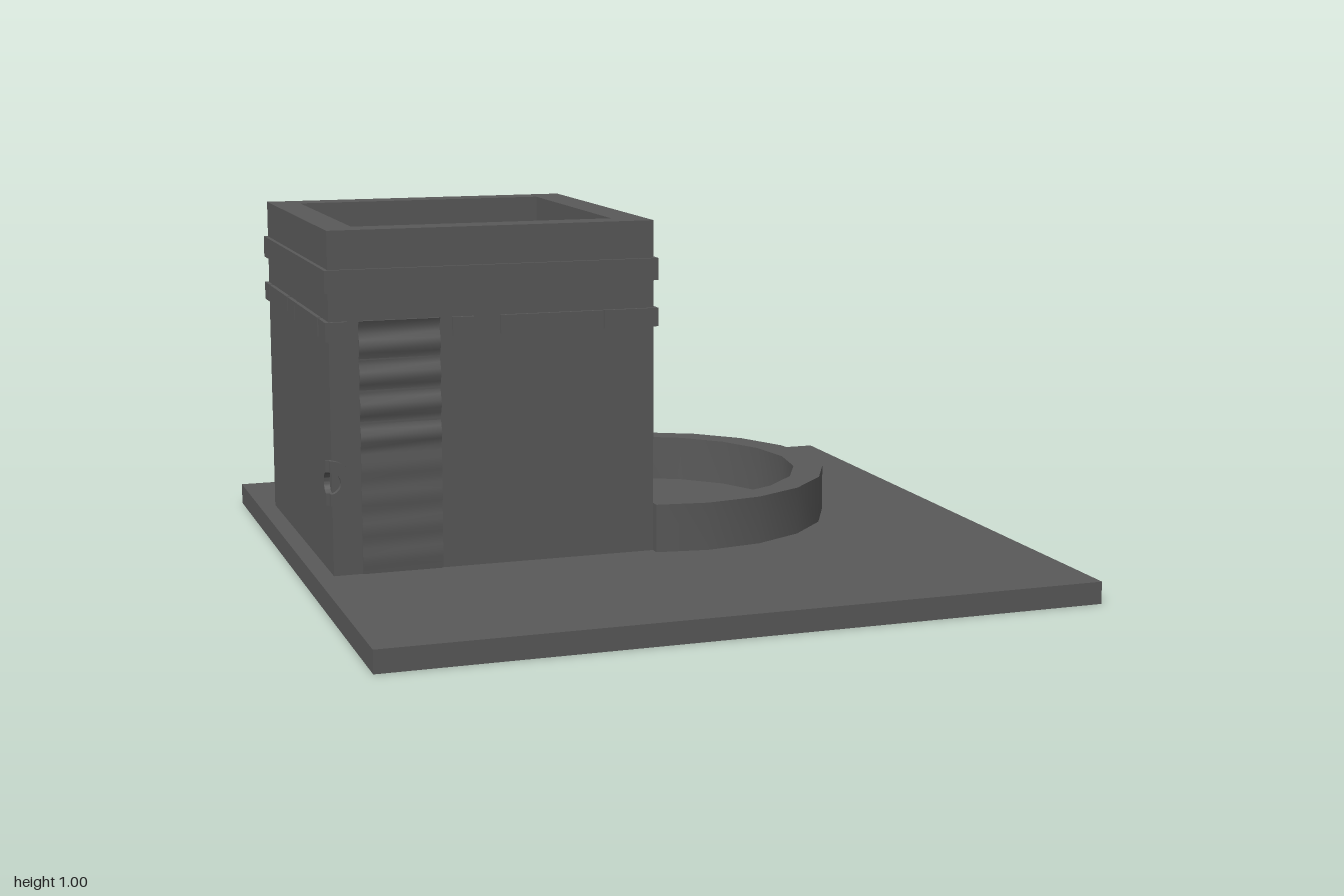
import * as THREE from 'three';
import { toCreasedNormals } from 'three/addons/utils/BufferGeometryUtils.js';

export function createModel() {
  const model = new THREE.Group();
  const stone = new THREE.MeshStandardMaterial({ color: 0x595959 });
  stone.name = 'dark grey stone';

  const add = (name, geometry, parent = model) => {
    const mesh = new THREE.Mesh(geometry, stone);
    mesh.name = name;
    parent.add(mesh);
    return mesh;
  };
  const group = (name) => {
    const g = new THREE.Group();
    g.name = name;
    model.add(g);
    return g;
  };
  const box = (name, x0, x1, y0, y1, z0, z1, parent) =>
    add(name, new THREE.BoxGeometry(x1 - x0, y1 - y0, z1 - z0)
      .translate((x0 + x1) / 2, (y0 + y1) / 2, (z0 + z1) / 2), parent);
  const extrude = (shape, depth) =>
    new THREE.ExtrudeGeometry(shape, { depth, bevelEnabled: false, curveSegments: 12 });
  const polygon = (points) => new THREE.Shape(points.map(([x, y]) => new THREE.Vector2(x, y)));

  // Ground slab
  box('groundSlab', -1, 1, 0, 0.062, -0.993, 0.993);

  // House block with a sunken roof inside a parapet
  const X0 = -0.95, X1 = -0.03, Z0 = -0.655, Z1 = 0.27;
  box('houseWalls', X0, X1, 0.062, 0.92, Z0, Z1);
  const parapet = polygon([[X0, -Z1], [X1, -Z1], [X1, -Z0], [X0, -Z0]]);
  parapet.holes.push(polygon([[-0.865, -0.18], [-0.865, 0.565], [-0.125, 0.565], [-0.125, -0.18]]));
  add('parapet', extrude(parapet, 0.085).rotateX(-Math.PI / 2).translate(0, 0.92, 0));

  // Continuous upper band
  const T = 0.011;
  box('upperBand', X0 - T, X1 + T, 0.838, 0.9, Z0 - T, Z1 + T);

  // Lower band broken into blocks on all four faces
  const blocks = group('lowerBand');
  const Y0 = 0.708, Y1 = 0.76;
  for (const [a, b] of [[X0 - T, -0.9], [-0.61, -0.55], [-0.475, -0.183], [-0.177, X1 + T]])
    box('frontBlock', a, b, Y0, Y1, Z1 - 0.01, Z1 + T, blocks);
  for (const [a, b] of [[X0 - T, -0.89], [-0.875, -0.61], [-0.59, -0.5], [-0.485, -0.19], [-0.175, X1 + T]])
    box('backBlock', a, b, Y0, Y1, Z0 - T, Z0 + 0.01, blocks);
  for (const [a, b] of [[Z0 - T, -0.59], [-0.58, -0.29], [-0.284, -0.171], [-0.165, 0.17], [0.185, Z1 + T]]) {
    box('leftBlock', X1 - 0.01, X1 + T, Y0, Y1, a, b, blocks);
    box('rightBlock', X0 - T, X0 + 0.01, Y0, Y1, a, b, blocks);
  }

  // Rippled curtain over the doorway, a wavy profile pulled across its width
  const wave = [[0.26, 0.062]];
  for (let i = 0; i <= 40; i++) {
    const y = 0.062 + i * 0.01745;
    const amount = y > 0.4 ? 0.007 : 0.002;
    wave.push([0.276 + amount * Math.sin(y * 75), y]);
  }
  wave.push([0.26, 0.76]);
  add('doorCurtain', toCreasedNormals(
    extrude(polygon(wave), 0.225).rotateY(-Math.PI / 2).translate(-0.645, 0, 0).applyMatrix4(
      new THREE.Matrix4().makeScale(1, 1, 1)), 0.6));

  // Ring emblem folded around the front corner
  const emblem = group('cornerRing');
  const half = new THREE.Shape();
  half.absarc(0, 0, 0.062, -Math.PI / 2, Math.PI / 2, false);
  half.absarc(0, 0, 0.029, Math.PI / 2, -Math.PI / 2, true);
  add('frontHalfRing', toCreasedNormals(
    extrude(half, 0.022).translate(-0.957, 0.322, 0.265), 0.6), emblem);
  add('sideHalfRing', toCreasedNormals(
    extrude(half, 0.02).rotateY(Math.PI / 2).translate(-0.966, 0.322, 0.268), 0.6), emblem);

  // Roof drain: triangular plate and a spout with a slanted tip
  const plate = polygon([[-0.064, 0.972], [0, 0.902], [0.064, 0.972]]);
  add('drainPlate', extrude(plate, 0.02).rotateY(Math.PI / 2).translate(-0.04, 0, -0.201));
  const spout = polygon([[-0.04, 0.934], [0.124, 0.934], [0.108, 0.959], [-0.04, 0.959]]);
  add('drainSpout', extrude(spout, 0.03).translate(0, 0, -0.216));

  // Curved yard wall, thicker in the middle of its sweep
  const arc = (cx, r) => {
    const end = Math.acos((X1 - cx) / r);
    const angles = [-end];
    for (let i = -5; i <= 5; i++) angles.push(i * Math.PI / 10);
    angles.push(end);
    return angles.map((a) => [cx + r * Math.cos(a), 0.222 + r * Math.sin(a)]);
  };
  const wall = polygon([...arc(0.12, 0.541), ...arc(0.093, 0.477).reverse()]);
  add('yardWall', toCreasedNormals(
    extrude(wall, 0.138).rotateX(-Math.PI / 2).translate(0, 0.062, 0), 0.6));

  return model;
}
